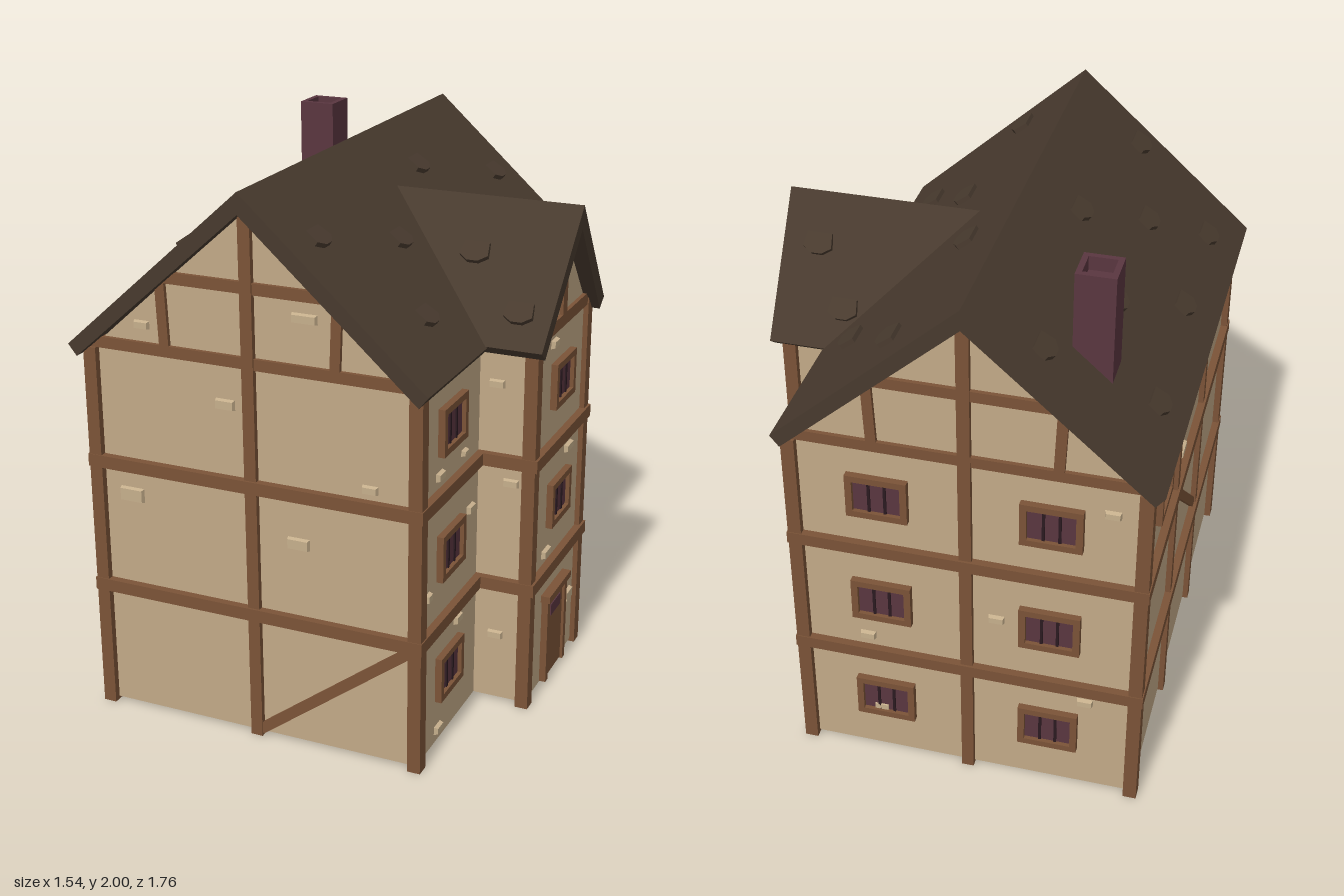
import * as THREE from 'three';

const mat = (color) => new THREE.MeshStandardMaterial({ color, flatShading: true });
const WALL = mat(0xc2a987), STONE = mat(0xc6af8c), WOOD = mat(0x7b5337);
const ROOF = mat(0x483a2e), PLUM = mat(0x5a3640), DARK = mat(0x2a1a20);

// Main house and bay extents
const X0 = -0.71, X1 = 0.5, Z0 = -0.845, Z1 = 0.82, XM = -0.105;
const BX = 0.7, BZ0 = -0.295, BZ1 = 0.265;
const SLOPE = 0.59 / 0.66, BAY_SLOPE = 0.43 / 0.355;

// Wall faces: u runs along x on front/back, along z on the sides
const FACES = {
  front: { turn: 0, at: (u, y) => [u, y, Z1] },
  back: { turn: Math.PI, at: (u, y) => [u, y, Z0] },
  right: { turn: Math.PI / 2, at: (u, y) => [X1, y, u] },
  left: { turn: -Math.PI / 2, at: (u, y) => [X0, y, u] },
  bay: { turn: Math.PI / 2, at: (u, y) => [BX, y, u] },
  bayFront: { turn: 0, at: (u, y) => [u, y, BZ1] },
  bayBack: { turn: Math.PI, at: (u, y) => [u, y, BZ0] },
};

function add(parent, name, geometry, material, pos = [0, 0, 0]) {
  const mesh = new THREE.Mesh(geometry, material);
  mesh.name = name;
  mesh.position.set(...pos);
  parent.add(mesh);
  return mesh;
}

const box = (parent, name, size, pos, material) =>
  add(parent, name, new THREE.BoxGeometry(...size), material, pos);

// Box given by its min and max corners
const span = (parent, name, a, b, material = WOOD) =>
  box(parent, name, a.map((v, i) => b[i] - v), a.map((v, i) => (b[i] + v) / 2), material);

function onFace(parent, name, face, u, y) {
  const g = new THREE.Group();
  g.name = name;
  g.position.set(...FACES[face].at(u, y));
  g.rotation.y = FACES[face].turn;
  parent.add(g);
  return g;
}

function prism(points, depth) {
  const shape = new THREE.Shape(points.map((p) => new THREE.Vector2(...p)));
  return new THREE.ExtrudeGeometry(shape, { depth, bevelEnabled: false });
}

// Straight timber between two points on a gable or side wall
function brace(parent, face, a, b, width) {
  const pa = new THREE.Vector3(...FACES[face].at(...a));
  const pb = new THREE.Vector3(...FACES[face].at(...b));
  const g = onFace(parent, 'brace', face, (a[0] + b[0]) / 2, (a[1] + b[1]) / 2);
  const d = pb.clone().sub(pa).applyAxisAngle(new THREE.Vector3(0, 1, 0), -FACES[face].turn);
  box(g, 'braceTimber', [d.length(), width, 0.03], [0, 0, 0], WOOD).rotation.z = Math.atan2(d.y, d.x);
}

// Framed window with three panes
function addWindow(parent, face, u, y) {
  const g = onFace(parent, 'window', face, u, y);
  const w = 0.215, h = 0.17, t = 0.024;
  for (const s of [-1, 1]) {
    box(g, 'windowRail', [w, t, 0.04], [0, s * (h - t) / 2, 0.005], WOOD);
    box(g, 'windowJamb', [t, h, 0.04], [s * (w - t) / 2, 0, 0.005], WOOD);
    box(g, 'windowMullion', [0.01, h - t, 0.03], [s * 0.028, 0, 0], DARK);
  }
  box(g, 'windowPane', [w - t, h - t, 0.02], [0, 0, 0], PLUM);
}

// Exposed wall stone with chamfered front
function addStone(parent, face, [u, y, w = 0.065, h = 0.038]) {
  const geo = new THREE.BoxGeometry(w, h, 0.03);
  const p = geo.attributes.position;
  for (let i = 0; i < p.count; i++) {
    if (p.getZ(i) > 0) p.setXY(i, p.getX(i) - Math.sign(p.getX(i)) * 0.008, p.getY(i) - Math.sign(p.getY(i)) * 0.008);
  }
  add(onFace(parent, 'stone', face, u, y), 'wallStone', geo, STONE);
}

// Loose roof tile: along = ridge direction, up = upslope direction
function addTile(parent, pos, along, up) {
  const geo = prism([[-0.045, 0.035], [-0.052, -0.02], [-0.02, -0.042], [0.02, -0.042], [0.052, -0.02], [0.045, 0.035]], 0.018);
  const x = new THREE.Vector3(...along), y = new THREE.Vector3(...up).normalize();
  const tile = add(parent, 'roofTile', geo, ROOF, pos);
  tile.quaternion.setFromRotationMatrix(new THREE.Matrix4().makeBasis(x, y, x.clone().cross(y)));
  tile.rotateX(-0.12);
}

export function createModel() {
  const house = new THREE.Group();
  house.name = 'timberHouse';

  // Plastered walls of house and bay, and the underside
  const body = prism([[X0, 0.012], [X1, 0.012], [X1, 1.375], [XM, 1.92], [X0, 1.375]], Z1 - Z0);
  add(house, 'mainWalls', body, WALL, [0, 0, Z0]);
  const bay = prism([[-BZ1, 0.012], [-BZ0, 0.012], [-BZ0, 1.385], [0, 1.75], [-BZ1, 1.385]], BX - 0.3);
  add(house, 'bayWalls', bay.rotateY(Math.PI / 2), WALL, [0.3, 0, 0]);
  span(house, 'floorPanel', [-0.61, 0.006, -0.73], [0.4, 0.014, 0.71], DARK);

  // Main roof
  const roof = prism([[XM, 1.99], [-0.77, 1.395], [-0.738, 1.355], [XM, 1.915], [0.523, 1.355], [0.555, 1.395]], 1.76);
  add(house, 'mainRoof', roof, ROOF, [0, 0, -0.88]);

  // Bay roof, its front edge leaning out towards the ridge
  const bayRoof = prism([[0, 1.83], [-0.355, 1.4], [-0.312, 1.365], [0, 1.744], [0.312, 1.365], [0.355, 1.4]], 0.7);
  bayRoof.rotateY(Math.PI / 2);
  const bp = bayRoof.attributes.position;
  for (let i = 0; i < bp.count; i++) {
    if (bp.getX(i) > 0.5) bp.setX(i, bp.getX(i) - (1.83 - bp.getY(i)) * 0.045);
  }
  add(house, 'bayRoof', bayRoof, ROOF, [0.07, 0, 0]);

  // Corner posts
  for (const [x, z, top] of [[X0, Z0, 1.38], [X0, Z1, 1.38], [X1, Z0, 1.38], [X1, Z1, 1.38], [BX - 0.005, BZ0, 1.42], [BX - 0.005, BZ1, 1.42]])
    span(house, 'cornerPost', [x - 0.024, 0, z - 0.025], [x + 0.024, top, z + 0.025]);
  // Intermediate posts
  for (const z of [Z0, Z1]) span(house, 'gablePost', [XM - 0.022, 0, z - 0.02], [XM + 0.022, 1.93, z + 0.02]);
  for (const z of [-0.285, 0.265]) span(house, 'sidePost', [X0 - 0.02, 0, z - 0.02], [X0 + 0.02, 1.38, z + 0.02]);

  // Horizontal beams around each storey
  for (const y of [0.48, 0.96]) {
    const a = y - 0.023, b = y + 0.023, o = 0.028;
    for (const z of [Z0, Z1]) span(house, 'storeyBeam', [X0 - o, a, z - o], [X1 + o, b, z + o]);
    span(house, 'storeyBeam', [X0 - o, a, Z0], [X0 + o, b, Z1]);
    span(house, 'storeyBeam', [X1 - o, a, Z0], [X1 + o, b, Z1]);
    for (const z of [BZ0, BZ1]) span(house, 'bayBeam', [X1, a, z - o], [BX + o, b, z + o]);
    span(house, 'bayBeam', [BX - o, a, BZ0], [BX + o, b, BZ1]);
  }

  // Gable timbers
  for (const face of ['front', 'back']) {
    brace(house, face, [X0, 1.4], [X1, 1.4], 0.04);
    brace(house, face, [-0.43, 1.66], [0.22, 1.66], 0.04);
    brace(house, face, [-0.42, 1.41], [-0.43, 1.65], 0.036);
    brace(house, face, [0.21, 1.41], [0.22, 1.65], 0.036);
  }
  brace(house, 'bay', [BZ0 - 0.01, 1.412], [BZ1 + 0.01, 1.412], 0.045);
  brace(house, 'bay', [-0.002, 1.42], [-0.002, 1.75], 0.045);
  // Diagonal braces
  brace(house, 'front', [XM + 0.01, 0.02], [0.48, 0.455], 0.038);
  brace(house, 'left', [-0.27, 0.95], [0.26, 0.49], 0.038);

  // Windows
  for (const y of [0.26, 0.725, 1.185]) {
    for (const z of [0.545, -0.58]) addWindow(house, 'right', z, y);
    for (const x of [-0.4, 0.2]) addWindow(house, 'back', x, y);
    if (y > 0.5) addWindow(house, 'bay', -0.02, y);
  }
  addWindow(house, 'left', -0.57, 1.2);

  // Door
  const door = onFace(house, 'door', 'bay', -0.013, 0);
  box(door, 'doorLeaf', [0.18, 0.33, 0.03], [0, 0.185, 0], WOOD);
  for (const s of [-1, 1]) box(door, 'doorJamb', [0.026, 0.34, 0.05], [s * 0.1, 0.185, 0], WOOD);
  box(door, 'doorLintel', [0.25, 0.026, 0.07], [0, 0.362, 0], WOOD);
  box(door, 'doorPane', [0.11, 0.045, 0.01], [0, 0.288, 0.014], PLUM);

  // Wall stones: position along the face, height, optional size
  const stones = {
    front: [[-0.51, 1.48], [0.1, 1.58, 0.1, 0.042], [-0.2, 1.24, 0.08, 0.045], [0.33, 1.02], [-0.58, 0.845, 0.1, 0.06], [0.065, 0.775, 0.09, 0.05]],
    bayFront: [[0.565, 1.24], [0.625, 0.875], [0.58, 0.27]],
    bayBack: [[0.58, 1.1], [0.6, 0.62], [0.57, 0.3]],
    right: [[0.64, 1.03], [0.415, 1.03, 0.05, 0.03], [0.345, 0.79], [0.735, 0.62, 0.05], [0.455, 0.41], [0.63, 0.06],
      [-0.385, 1.07, 0.05], [-0.705, 1.02], [-0.4, 0.66], [-0.63, 0.4, 0.075], [-0.46, 0.06]],
    bay: [[0.07, 1.345], [-0.135, 0.88, 0.08], [0.09, 0.545, 0.08], [-0.2, 0.24, 0.08, 0.05]],
    back: [[-0.6, 1.27], [-0.21, 0.73], [0.26, 0.55], [0.22, 0.21], [-0.53, 0.41]],
    left: [[-0.09, 1.16, 0.09], [-0.15, 1.05, 0.09]],
  };
  for (const face in stones) for (const s of stones[face]) addStone(house, face, s);

  // Loose tiles on the main and bay roofs
  for (const [x, z] of [[-0.33, -0.72], [-0.67, -0.5], [-0.46, -0.21], [-0.65, 0.09], [-0.27, 0.07], [-0.46, 0.36], [-0.65, 0.6], [-0.35, 0.75],
    [0.18, -0.71], [0.4, -0.47], [0.05, -0.24], [0.2, 0.28], [0.4, 0.53], [0.09, 0.7]]) {
    const s = Math.sign(x - XM);
    addTile(house, [x, 1.99 - Math.abs(x - XM) * SLOPE, z], [0, 0, -s], [-s, SLOPE, 0]);
  }
  for (const [x, z] of [[0.5, -0.26], [0.63, -0.12], [0.43, 0.14], [0.64, 0.27]]) {
    const s = Math.sign(z);
    addTile(house, [x, 1.83 - Math.abs(z) * BAY_SLOPE, z], [s, 0, 0], [0, BAY_SLOPE, -s]);
  }

  // Chimney with an open flue
  const square = (r) => [[-r, -r], [r, -r], [r, r], [-r, r]].map((p) => new THREE.Vector2(...p));
  const stack = new THREE.Shape(square(0.068));
  stack.holes.push(new THREE.Path(square(0.048)));
  const chimney = new THREE.ExtrudeGeometry(stack, { depth: 0.5, bevelEnabled: false }).rotateX(-Math.PI / 2);
  add(house, 'chimney', chimney, PLUM, [-0.465, 1.5, -0.532]);
  box(house, 'chimneyFlue', [0.1, 0.4, 0.1], [-0.465, 1.75, -0.532], PLUM);

  return house;
}
